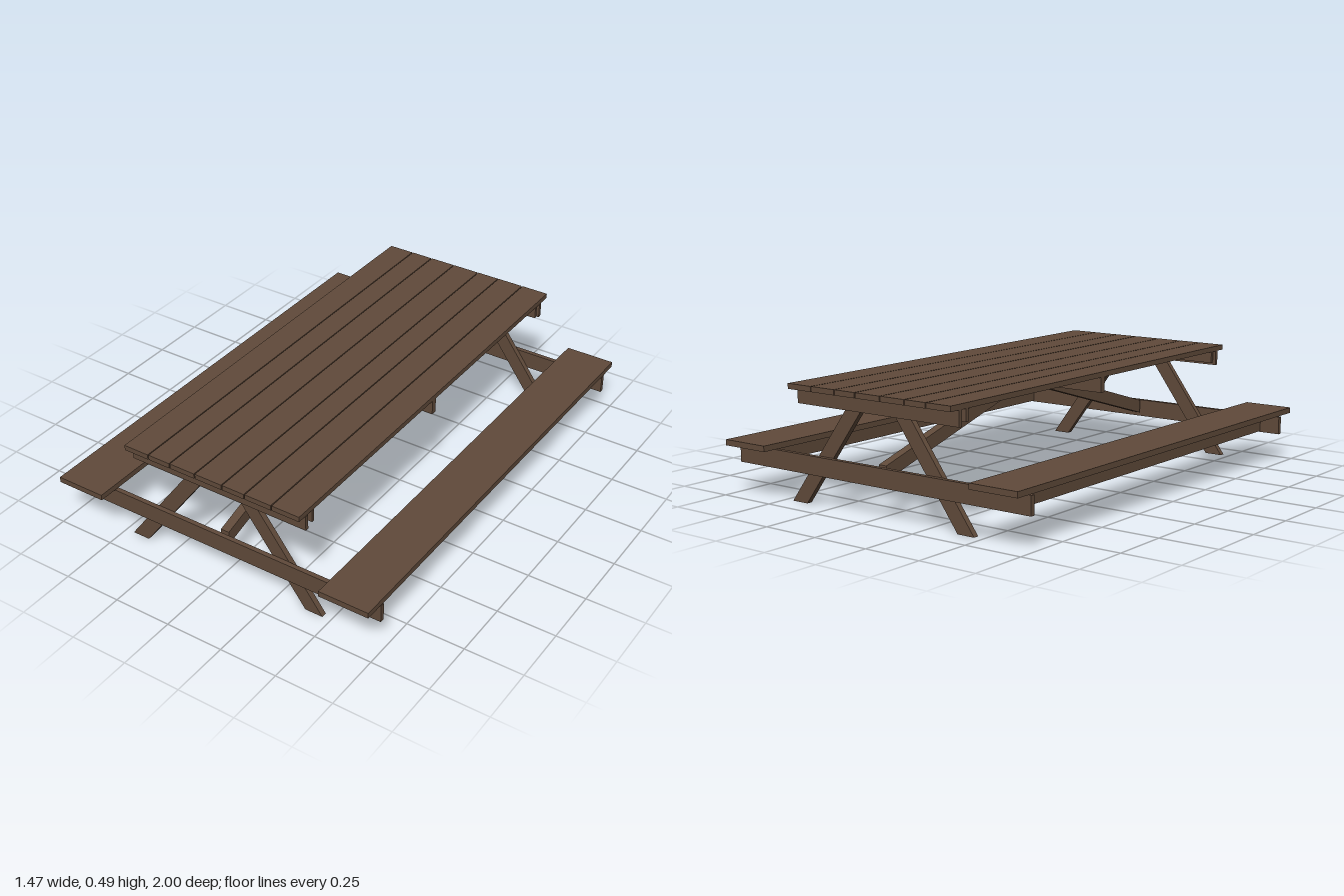
import * as THREE from 'three';

const wood = new THREE.MeshStandardMaterial({ color: 0x604a3a });
wood.name = 'brown wood';

// Box given by its extents on each axis
function board(name, [x0, x1], [y0, y1], [z0, z1]) {
  const mesh = new THREE.Mesh(new THREE.BoxGeometry(x1 - x0, y1 - y0, z1 - z0), wood);
  mesh.position.set((x0 + x1) / 2, (y0 + y1) / 2, (z0 + z1) / 2);
  mesh.name = name;
  return mesh;
}

// Flat outline given thickness along its local z
function slab(name, points, depth) {
  const shape = new THREE.Shape(points.map(([x, y]) => new THREE.Vector2(x, y)));
  const geometry = new THREE.ExtrudeGeometry(shape, { depth, bevelEnabled: false });
  geometry.translate(0, 0, -depth / 2);
  const mesh = new THREE.Mesh(geometry, wood);
  mesh.name = name;
  return mesh;
}

export function createModel() {
  const table = new THREE.Group();
  table.name = 'picnicTable';

  // Table top: seven planks of uneven width with narrow gaps
  const top = new THREE.Group();
  top.name = 'tableTop';
  const seams = [-0.413, -0.295, -0.192, -0.073, 0.054, 0.158, 0.28, 0.406];
  for (let i = 0; i < 7; i++) {
    const shift = -0.0008 * i;
    top.add(board('topPlank', [seams[i] + 0.002, seams[i + 1] - 0.002], [0.468, 0.49],
      [-0.967 + shift, 0.954 + shift]));
  }
  table.add(top);

  // Benches: a wide seat board on a long rail
  for (const s of [-1, 1]) {
    const bench = new THREE.Group();
    bench.name = s > 0 ? 'leftBench' : 'rightBench';
    const c = s * 0.628;
    bench.add(board('seat', [c - 0.109, c + 0.109], [0.207, 0.231], [-1, 1]));
    bench.add(board('seatRail', [c - 0.018, c + 0.018], [0.13, 0.207], [-0.9, 0.9]));
    table.add(bench);
  }

  // End frames: splayed legs, cross beam and cleats under the top
  for (const s of [-1, 1]) {
    const frame = new THREE.Group();
    frame.name = s > 0 ? 'frontFrame' : 'backFrame';
    const legZ = s > 0 ? 0.883 : -0.89;
    for (const m of [-1, 1]) {
      const outline = [[0.385, 0], [0.463, 0], [0.118, 0.468], [0.04, 0.468]].map(([x, y]) => [m * x, y]);
      const leg = slab('leg', outline, 0.024);
      leg.position.z = legZ;
      frame.add(leg);
    }
    const layer = (offset, half) => [legZ + s * offset - half, legZ + s * offset + half];
    frame.add(board('crossBeam', [-0.737, 0.737], [0.126, 0.202], layer(0.022, 0.01)));
    frame.add(board('outerCleat', [-0.41, 0.406], [0.404, 0.468], layer(0.02, 0.008)));
    frame.add(board('innerCleat', [-0.41, 0.406], [0.418, 0.468], layer(-0.019, 0.007)));
    table.add(frame);
  }

  // Middle cleat with two sloping braces down to the cross beams
  table.add(board('middleCleat', [-0.408, 0.404], [0.404, 0.468], [-0.013, 0.013]));
  for (const s of [-1, 1]) {
    const outline = [[0, 0.404], [0.88, 0.145], [0.88, 0.203], [0, 0.464]].map(([z, y]) => [s * z, y]);
    const brace = slab('brace', outline, 0.038);
    brace.rotation.y = -Math.PI / 2;
    table.add(brace);
  }

  return table;
}
